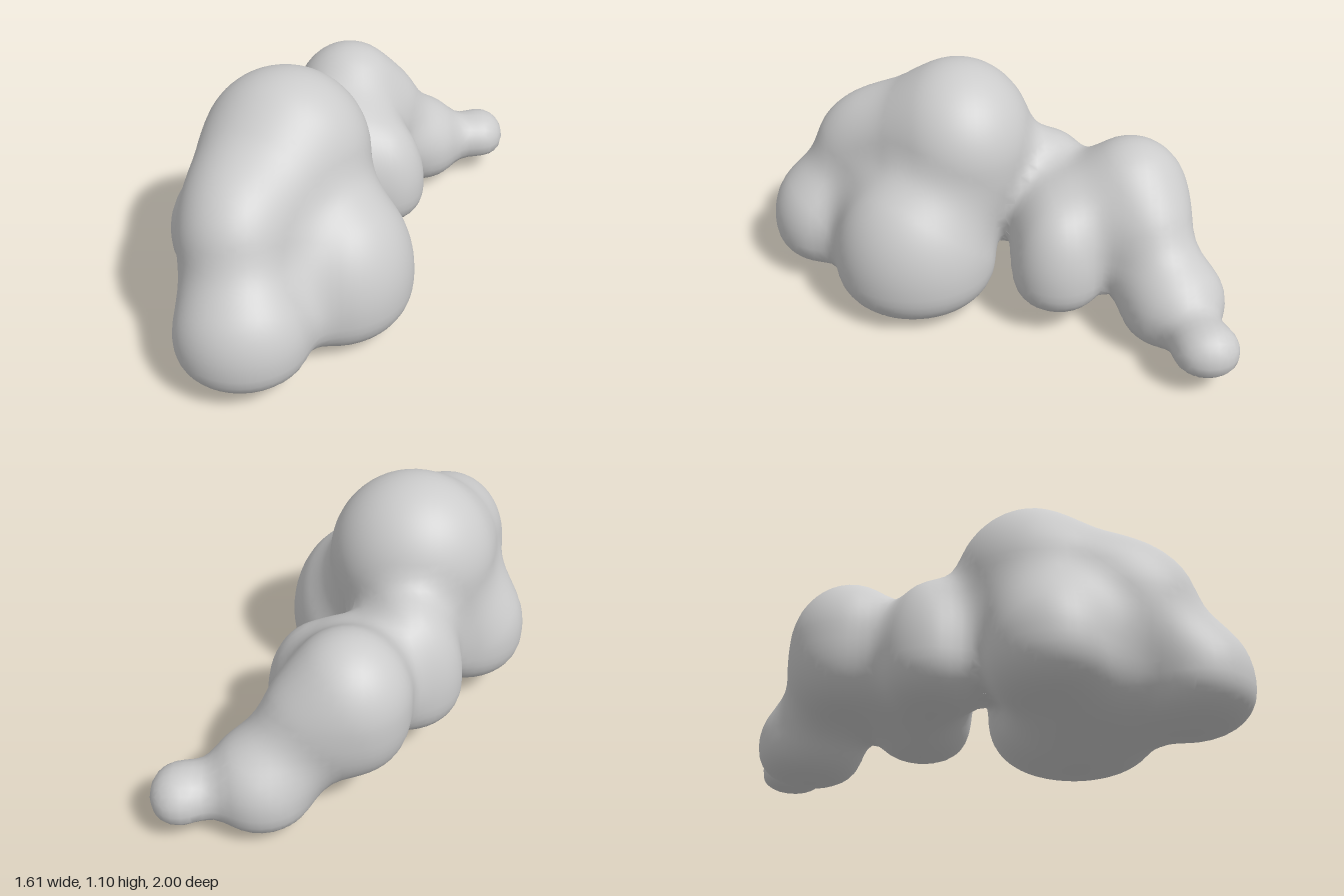
import * as THREE from 'three';
import { mergeVertices } from 'three/addons/utils/BufferGeometryUtils.js';

// Each puff of the cloud: name, centre, radii, and the depth of its flattened underside
const PUFFS = [
  ['crownPuff', [-0.285, 0.72, 0.12], [0.365, 0.38, 0.345], 0.4],
  ['browPuff', [-0.4, 0.7, 0.34], [0.265, 0.23, 0.25], 0.3],
  ['shoulderPuff', [-0.48, 0.56, 0.51], [0.25, 0.31, 0.275], 0.3],
  ['frontPuff', [-0.46, 0.25, 0.74], [0.285, 0.3, 0.26], 0.19],
  ['leftSidePuff', [-0.085, 0.25, 0.34], [0.35, 0.44, 0.37], 0.25],
  ['rightSidePuff', [-0.53, 0.32, 0.14], [0.28, 0.32, 0.27], 0.22],
  ['bellyPuff', [-0.36, 0.3, 0.36], [0.28, 0.4, 0.3], 0.22],
  ['neckPuff', [-0.245, 0.36, -0.3], [0.25, 0.39, 0.23], 0.21],
  ['neckSidePuff', [0.15, 0.27, -0.29], [0.2, 0.31, 0.205], 0.17],
  ['neckCorePuff', [0.02, 0.42, -0.36], [0.2, 0.24, 0.2], 0.24],
  ['rearPuff', [0.0, 0.52, -0.63], [0.265, 0.3, 0.265], 0.32],
  ['tailRootPuff', [0.18, 0.42, -0.69], [0.18, 0.2, 0.17], 0.22],
  ['tailPuff', [0.35, 0.2, -0.77], [0.225, 0.23, 0.23], 0.175],
  ['tailTipPuff', [0.675, 0.18, -0.84], [0.125, 0.125, 0.14], 0.09],
];
const BLEND = 0.14;
const CELL = 0.04;
const MIN = [-0.92, -0.12, -1.12];
const SIZE = [48, 34, 57];

// Approximate signed distance to one puff: round above its centre, squarer below
function puffDistance([, c, r, drop], p) {
  const below = p[1] < c[1];
  const n = below ? 2.6 : 2, ry = below ? drop : r[1];
  const x = (p[0] - c[0]) / r[0], z = (p[2] - c[2]) / r[2];
  const y = Math.abs(p[1] - c[1]) / ry;
  const ring = Math.max(Math.hypot(x, z), 1e-4);
  const k = (ring ** n + y ** n) ** (1 / n);
  const slope = Math.hypot(
    (ring / k) ** (n - 1) * Math.hypot(x / r[0], z / r[2]) / ring,
    (y / k) ** (n - 1) / ry,
  );
  return (k - 1) / Math.max(slope, 1);
}

// Smooth union of all puffs
function field(p) {
  let d = 10;
  for (const puff of PUFFS) {
    const e = puffDistance(puff, p);
    const h = Math.max(BLEND - Math.abs(d - e), 0);
    d = Math.min(d, e) - h * h / (4 * BLEND);
  }
  return d;
}

function gradient(p) {
  const e = 0.004;
  return [0, 1, 2].map((i) => {
    const a = [...p], b = [...p];
    a[i] += e;
    b[i] -= e;
    return (field(a) - field(b)) / (2 * e);
  });
}

// Index of the puff nearest to a point
function nearestPuff(p) {
  const d = PUFFS.map((puff) => puffDistance(puff, p));
  return d.indexOf(Math.min(...d));
}

export function createModel() {
  const [nx, ny, nz] = SIZE;
  const step = [1, nx, nx * ny];
  const gridPoint = (i, j, k) => [i, j, k].map((n, a) => MIN[a] + n * CELL);
  const values = new Float32Array(nx * ny * nz);
  const eachCell = (start, visit) => {
    for (let k = start; k < nz - 1; k++)
      for (let j = start; j < ny - 1; j++)
        for (let i = start; i < nx - 1; i++) visit(i, j, k, i + j * nx + k * nx * ny);
  };
  for (let k = 0; k < nz; k++)
    for (let j = 0; j < ny; j++)
      for (let i = 0; i < nx; i++)
        values[i + j * nx + k * nx * ny] = field(gridPoint(i, j, k));

  // One vertex in every cell the skin crosses, pulled onto the skin
  const vertexOf = new Map();
  const positions = [], normals = [], owners = [];
  eachCell(0, (i, j, k, id) => {
    let inside = 0;
    for (let c = 0; c < 8; c++)
      if (values[id + (c & 1) + (c >> 1 & 1) * step[1] + (c >> 2) * step[2]] < 0) inside++;
    if (inside === 0 || inside === 8) return;
    const p = gridPoint(i + 0.5, j + 0.5, k + 0.5);
    for (let n = 0; n < 4; n++) {
      const g = gradient(p), d = field(p);
      const s = d / Math.max(g[0] ** 2 + g[1] ** 2 + g[2] ** 2, 0.1);
      for (let a = 0; a < 3; a++) p[a] -= s * g[a];
    }
    vertexOf.set(id, owners.length);
    positions.push(...p);
    normals.push(...new THREE.Vector3(...gradient(p)).normalize().toArray());
    owners.push(nearestPuff(p));
  });

  // A quad around every grid edge the skin crosses, given to its nearest puff
  const faces = PUFFS.map(() => []);
  eachCell(1, (i, j, k, id) => {
    for (let a = 0; a < 3; a++) {
      const here = values[id] < 0, next = values[id + step[a]] < 0;
      if (here === next) continue;
      const u = step[(a + 1) % 3], v = step[(a + 2) % 3];
      const q = [id, id - u, id - u - v, id - v].map((n) => vertexOf.get(n));
      if (!here) q.reverse();
      faces[owners[q[0]]].push(q[0], q[1], q[2], q[0], q[2], q[3]);
    }
  });

  // One mesh per puff, with normals that run on smoothly across the joins
  const cloud = new THREE.Group();
  cloud.name = 'cloud';
  const material = new THREE.MeshStandardMaterial({ color: 0xcccccc });
  PUFFS.forEach(([name], n) => {
    if (!faces[n].length) return;
    const all = new THREE.BufferGeometry();
    all.setAttribute('position', new THREE.Float32BufferAttribute(positions, 3));
    all.setAttribute('normal', new THREE.Float32BufferAttribute(normals, 3));
    all.setIndex(faces[n]);
    const mesh = new THREE.Mesh(mergeVertices(all.toNonIndexed()), material);
    mesh.name = name;
    cloud.add(mesh);
  });

  // Centre it and stand it on the ground
  const box = new THREE.Box3().setFromObject(cloud);
  const mid = box.getCenter(new THREE.Vector3());
  cloud.position.set(-mid.x, -box.min.y, -mid.z);
  const model = new THREE.Group();
  model.add(cloud);
  return model;
}
